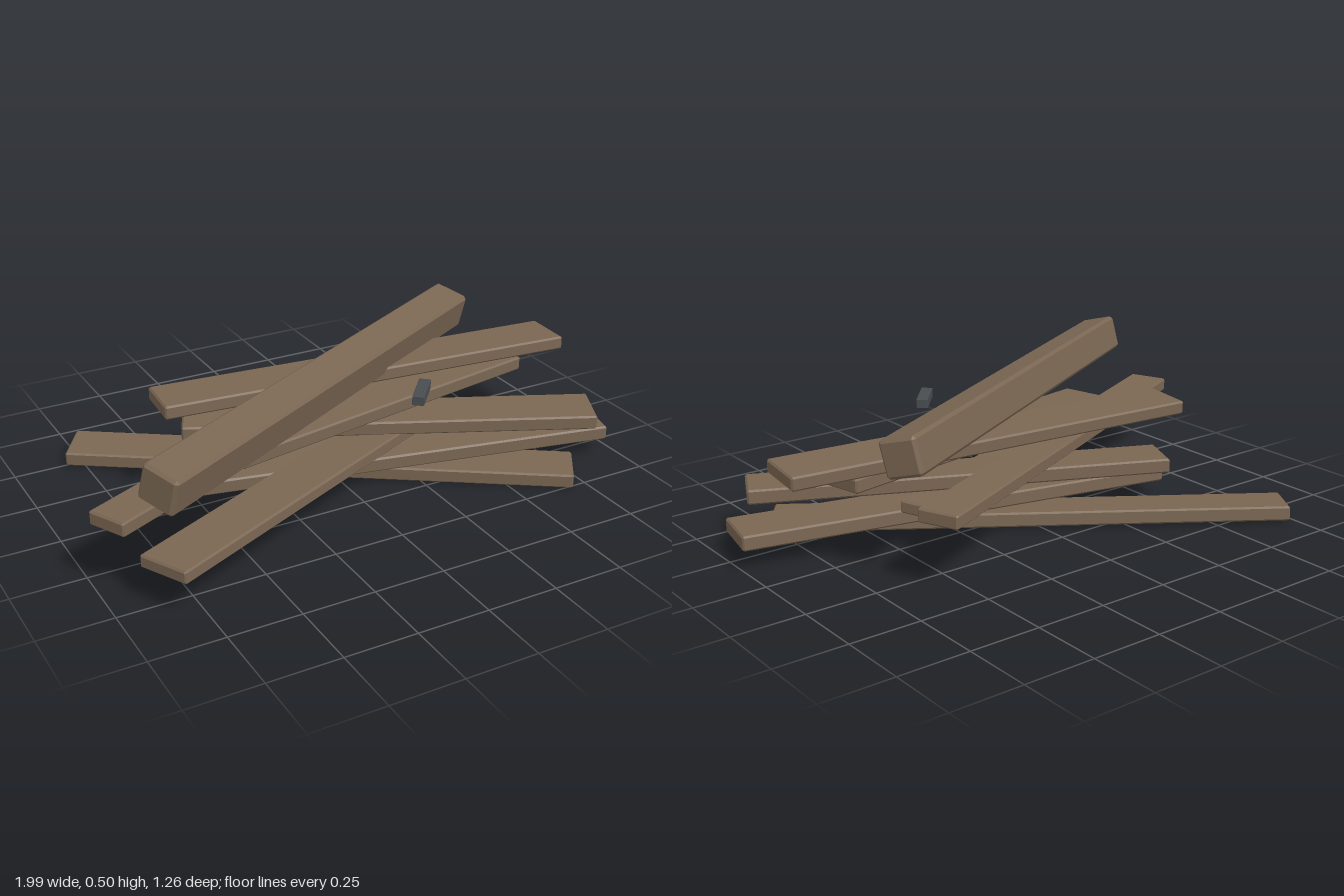
import * as THREE from 'three';
import { ConvexGeometry } from 'three/addons/geometries/ConvexGeometry.js';

// Box with every edge and corner chamfered by c
function chamferedBox(l, h, w, c) {
  const points = [];
  for (const sx of [-1, 1]) for (const sy of [-1, 1]) for (const sz of [-1, 1]) {
    for (let axis = 0; axis < 3; axis++) {
      const inset = [c, c, c];
      inset[axis] = 0;
      points.push(new THREE.Vector3(
        sx * (l / 2 - inset[0]), sy * (h / 2 - inset[1]), sz * (w / 2 - inset[2])));
    }
  }
  return new ConvexGeometry(points);
}

export function createModel() {
  const group = new THREE.Group();
  const wood = new THREE.MeshStandardMaterial({ name: 'weatheredWood', color: 0x7a6652 });
  const metal = new THREE.MeshStandardMaterial({ name: 'darkMetal', color: 0x4a4d50 });

  // heading turns the piece about y, roll tips it about its own length (degrees)
  function addPiece(name, material, [l, h, w], [x, y, z], heading, roll, chamfer) {
    const mesh = new THREE.Mesh(chamferedBox(l, h, w, chamfer), material);
    mesh.name = name;
    mesh.position.set(x, y, z);
    mesh.rotation.order = 'YXZ';
    mesh.rotation.y = THREE.MathUtils.degToRad(heading);
    mesh.rotation.x = THREE.MathUtils.degToRad(roll);
    group.add(mesh);
  }

  // Loose planks, stacked from the ground up: size, centre, heading, roll
  const planks = [
    [[1.81, 0.052, 0.172], [-0.015, 0.033, -0.06], -34, 3],
    [[1.57, 0.052, 0.214], [0.208, 0.092, 0.093], -12, 2],
    [[1.44, 0.045, 0.187], [-0.205, 0.147, 0.232], 25, -2],
    [[1.46, 0.051, 0.186], [0.21, 0.196, 0.052], -25, 1.5],
    [[1.73, 0.049, 0.145], [-0.185, 0.249, 0.002], 25.4, -1],
    [[1.25, 0.05, 0.188], [0.122, 0.302, 0.1], 10.3, 1.5],
    [[1.525, 0.048, 0.195], [0.167, 0.356, -0.056], -5.3, -2],
  ];
  planks.forEach(([size, centre, heading, roll], i) =>
    addPiece('plank' + (i + 1), wood, size, centre, heading, roll, 0.006));

  // Square beam resting on its tilted side across the top
  addPiece('topBeam', wood, [1.745, 0.13, 0.134], [-0.105, 0.431, 0.147], 28.5, 14, 0.011);

  // Small loose metal fragment
  addPiece('metalFragment', metal, [0.145, 0.033, 0.04], [0.181, 0.403, 0.308], 49, 0, 0.001);

  return group;
}
